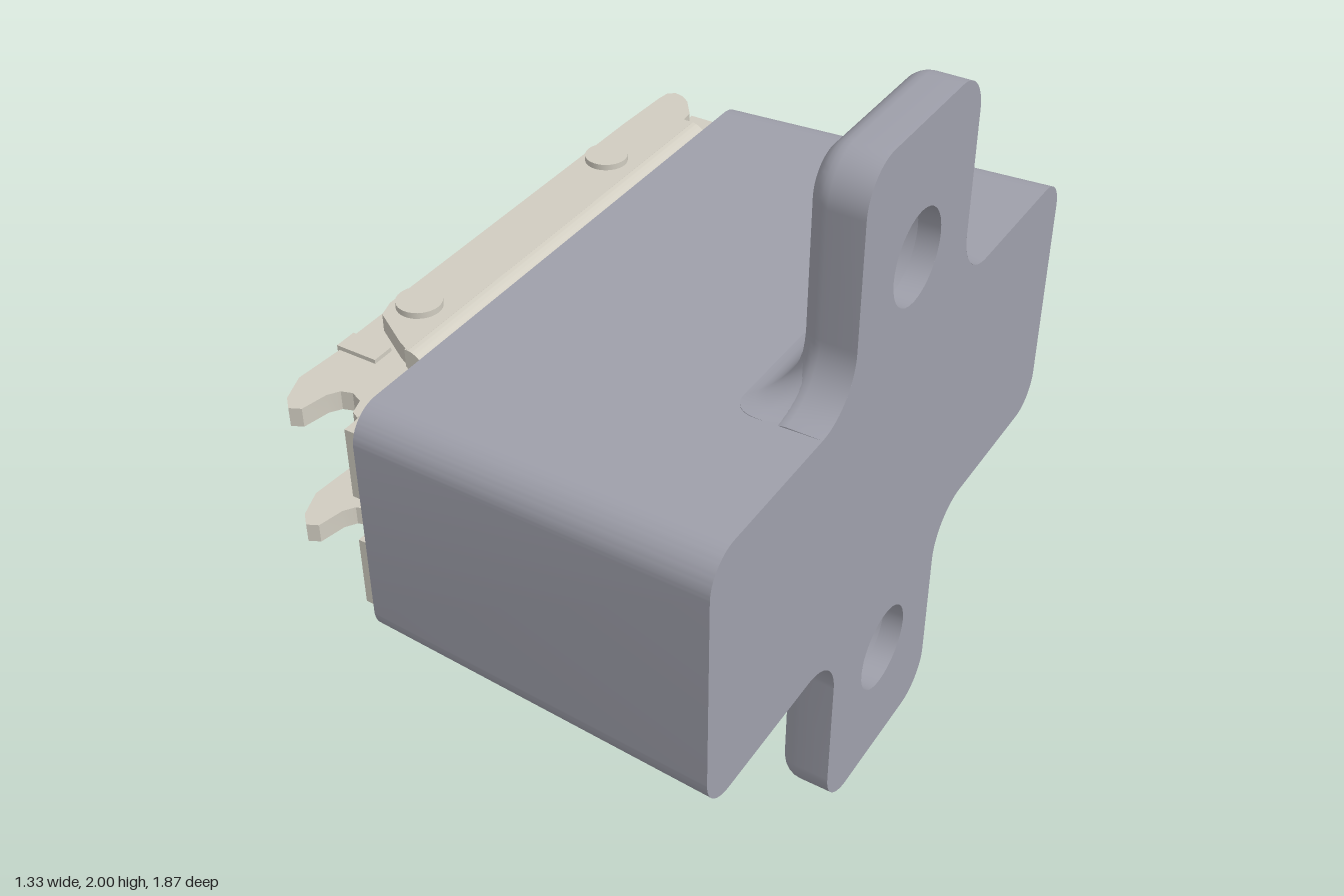
import * as THREE from 'three';
import { toCreasedNormals } from 'three/addons/utils/BufferGeometryUtils.js';

const housingMat = new THREE.MeshStandardMaterial({ color: 0x9fa0ab, side: THREE.DoubleSide });
const metalMat = new THREE.MeshStandardMaterial({ color: 0xd0ccc0, side: THREE.DoubleSide });
const PI = Math.PI;

function mesh(name, geo, mat, x = 0, y = 0, z = 0) {
  const m = new THREE.Mesh(toCreasedNormals(geo, 0.6), mat);
  m.name = name;
  m.position.set(x, y, z);
  return m;
}
const shapeOf = pts => new THREE.Shape(pts.map(p => new THREE.Vector2(p[0], p[1])));
const extrude = (shape, depth) =>
  new THREE.ExtrudeGeometry(shape, { depth, bevelEnabled: false, curveSegments: 12 });
const box = (name, x0, x1, y0, y1, z0, z1) => mesh(name, new THREE.BoxGeometry(x1 - x0, y1 - y0, z1 - z0),
  metalMat, (x0 + x1) / 2, (y0 + y1) / 2, (z0 + z1) / 2);
// plate drawn in x,z hanging down from its top height
const flatPlate = (name, shape, top, t) => mesh(name, extrude(shape, t).rotateX(PI / 2), metalMat, 0, top);
// shape drawn in z,y and thickened towards -x
const wallPlate = (shape, t) => extrude(shape, t).rotateY(-PI / 2);

// skin between rings of equal point count
function loft(rings, closed) {
  const n = rings[0].length, idx = [];
  for (let i = 0; i < rings.length - 1; i++)
    for (let j = 0; j < (closed ? n : n - 1); j++) {
      const a = i * n + j, b = i * n + (j + 1) % n;
      idx.push(a, a + n, b, b, a + n, b + n);
    }
  const g = new THREE.BufferGeometry();
  g.setAttribute('position', new THREE.Float32BufferAttribute(rings.flat(2), 3));
  g.setIndex(idx);
  g.computeVertexNormals();
  return g;
}

function roundedRect(w, h, r) {
  const s = new THREE.Shape();
  s.absarc(w - r, h - r, r, 0, PI / 2);
  s.absarc(-w + r, h - r, r, PI / 2, PI);
  s.absarc(-w + r, -h + r, r, PI, 1.5 * PI);
  s.absarc(w - r, -h + r, r, 1.5 * PI, 2 * PI);
  return s;
}

// tab outline in z,y, inset by d, flaring into the body
function tabOutline(d, hole) {
  const s = new THREE.Shape();
  s.moveTo(-0.443, 1.3);
  s.lineTo(0.443, 1.3);
  s.absarc(0.443, 1.535, 0.15 + d, 1.5 * PI, PI, true);
  s.absarc(0.173, 1.88, 0.12 - d, 0, PI / 2);
  s.absarc(-0.173, 1.88, 0.12 - d, PI / 2, PI);
  s.absarc(-0.443, 1.535, 0.15 + d, 0, -PI / 2, true);
  s.closePath();
  if (hole) s.holes.push(new THREE.Path().absarc(0, 1.63, hole, 0, 2 * PI, true));
  return s;
}

function makeTab() {
  const tab = new THREE.Group();
  tab.name = 'mountingTab';
  const ring = (x, d) => tabOutline(d).getPoints(8).map(p => [x, p.y, p.x]);
  const rings = [];
  for (let k = 0; k <= 6; k++) {
    const a = k / 6 * PI / 2;
    rings.push(ring(0.565 - 0.06 * Math.cos(a), 0.06 * (1 - Math.sin(a))));
  }
  rings.push(ring(0.66, 0));
  tab.add(mesh('tabEdge', loft(rings, true), housingMat));
  tab.add(mesh('tabFront', new THREE.ShapeGeometry(tabOutline(0.06, 0.16), 16).rotateY(-PI / 2), housingMat, 0.505));
  tab.add(mesh('tabBack', new THREE.ShapeGeometry(tabOutline(0, 0.125), 16).rotateY(PI / 2), housingMat, 0.66));
  // stepped screw hole
  const bore = (name, r, x0, x1) => mesh(name,
    new THREE.CylinderGeometry(r, r, x1 - x0, 48, 1, true).rotateZ(PI / 2), housingMat, (x0 + x1) / 2, 1.63);
  tab.add(bore('counterbore', 0.16, 0.505, 0.6), bore('screwHole', 0.125, 0.6, 0.66));
  tab.add(mesh('holeLedge', new THREE.RingGeometry(0.125, 0.16, 48).rotateY(-PI / 2), housingMat, 0.6, 1.63));
  // fillet where the tab front meets the body
  const curve = (r, u) => r - Math.sqrt(Math.max(0, r * r - (r - u) ** 2));
  const skirt = [];
  for (let i = -1; i <= 8; i++) {
    const u = 0.085 * (Math.max(i, 0) / 8) ** 1.6;
    const y = i < 0 ? 1.36 : 1.38 + u;
    const w = 0.293 + curve(0.15, u), x = 0.505 - curve(0.085, u), c = 0.06, half = [];
    for (let k = 0; k <= 6; k++) {
      const a = k / 6 * PI / 2;
      half.push([x + c - c * Math.sin(a), y, w - c + c * Math.cos(a)]);
    }
    skirt.push([[0.655, y, w], ...half, ...half.map(p => [p[0], p[1], -p[2]]).reverse(), [0.655, y, -w]]);
  }
  tab.add(mesh('tabFillet', loft(skirt, false), housingMat));
  return tab;
}

export function createModel() {
  const model = new THREE.Group();

  // tapered housing block
  const body = wallPlate(roundedRect(0.935, 0.385, 0.1), 0.99);
  const p = body.attributes.position;
  for (let i = 0; i < p.count; i++) {
    const t = -p.getX(i) / 0.99;
    p.setY(i, p.getY(i) * (1 - 0.085 * t));
    p.setZ(i, p.getZ(i) * (1 - 0.037 * t));
  }
  model.add(mesh('housing', body, housingMat, 0.66, 1, 0));

  // mounting tabs above and below
  for (const turn of [0, PI]) {
    const pivot = new THREE.Group(), tab = makeTab();
    pivot.name = turn ? 'lowerTab' : 'upperTab';
    tab.position.y = -1;
    pivot.position.y = 1;
    pivot.rotation.x = turn;
    pivot.add(tab);
    model.add(pivot);
  }

  // outer channel with rounded bends
  const c = new THREE.Shape();
  c.moveTo(-0.39, 0.65);
  c.absarc(-0.385, 0.705, 0.055, -PI / 2, 0);
  c.absarc(-0.385, 1.295, 0.055, 0, PI / 2);
  c.lineTo(-0.39, 1.35);
  c.lineTo(-0.39, 1.3);
  c.lineTo(-0.37, 1.28);
  c.lineTo(-0.37, 0.72);
  c.lineTo(-0.39, 0.7);
  model.add(mesh('channelBase', extrude(c, 1.33), metalMat, 0, 0, -0.71));

  const outer = shapeOf([[-0.38, -0.71], [-0.41, -0.71], [-0.415, -0.75], [-0.46, -0.81], [-0.49, -0.83],
    [-0.515, -0.835], [-0.535, -0.82], [-0.54, -0.78], [-0.545, -0.6], [-0.545, 0.48], [-0.53, 0.53],
    [-0.42, 0.6], [-0.38, 0.62]]);
  // inner flange: tapered end, slot in its edge, hooked fork at the other end
  const inner = shapeOf([[-0.42, -0.5], [-0.5, -0.6], [-0.53, -0.74], [-0.56, -0.745], [-0.58, -0.73],
    [-0.665, -0.61], [-0.665, -0.22], [-0.6, -0.215], [-0.58, -0.2], [-0.58, -0.13], [-0.6, -0.11],
    [-0.665, -0.11], [-0.665, 0.5], [-0.655, 0.56], [-0.665, 0.71], [-0.635, 0.79], [-0.605, 0.82],
    [-0.575, 0.805], [-0.56, 0.73], [-0.54, 0.7], [-0.51, 0.69], [-0.475, 0.705], [-0.46, 0.75],
    [-0.44, 0.76], [-0.425, 0.74], [-0.425, 0.6], [-0.41, 0.5], [-0.41, -0.45]]);

  for (const s of [1, -1]) {
    const side = s > 0 ? 'upper' : 'lower';
    const top = (y, t) => s > 0 ? y : 2 - y + t;
    model.add(flatPlate(side + 'OuterFlange', outer, top(1.35, 0.05), 0.05));
    model.add(flatPlate(side + 'InnerFlange', inner, top(1.215, 0.055), 0.055));
    // raised pads on the inner flange
    for (const [z0, z1] of [[-0.52, -0.44], [0.5, 0.565]]) {
      const y = 1 + s * 0.215;
      model.add(box(side + 'FlangePad', -0.662, -0.54, y - 0.012, y + 0.012, z0, z1));
    }
    // rivets joining the flanges
    for (const z of [-0.4, 0.45]) {
      model.add(mesh(side + 'RivetHead', new THREE.CylinderGeometry(0.06, 0.06, 0.02, 32), metalMat, -0.475, 1 + s * 0.357, z));
      model.add(mesh(side + 'RivetShank', new THREE.CylinderGeometry(0.037, 0.037, 0.2, 24), metalMat, -0.475, 1 + s * 0.26, z));
    }
  }

  // inner web with two round openings, closed by end walls
  const web = shapeOf([[-0.44, 0.84], [0.5, 0.84], [0.5, 1.16], [-0.44, 1.16]]);
  for (const z of [-0.165, 0.31])
    web.holes.push(new THREE.Path().absarc(z, 1, 0.145, 0, 2 * PI, true));
  model.add(mesh('innerWeb', wallPlate(web, 0.06), metalMat, -0.605));
  model.add(box('innerEndWall', -0.61, -0.4, 0.84, 1.16, 0.45, 0.5));
  model.add(box('innerEndWall', -0.61, -0.4, 0.84, 1.16, -0.44, -0.39));

  // blocks and slotted screw at both ends of the channel
  for (const [z0, z1, zs] of [[0.6, 0.87, 0.665], [-0.845, -0.6, -0.655]]) {
    model.add(box('upperEndBlock', -0.38, -0.325, 1.07, 1.275, z0, z1));
    model.add(box('lowerEndBlock', -0.38, -0.325, 0.725, 0.93, z0, z1));
    model.add(box('middleEndBlock', -0.36, -0.325, 0.93, 1.07, z0, z1 - 0.02));
    model.add(mesh('screwHead', new THREE.CylinderGeometry(0.115, 0.115, 0.07, 32).rotateZ(PI / 2), metalMat, -0.37, 1, zs));
    model.add(box('screwCross', -0.415, -0.4, 0.985, 1.015, zs - 0.06, zs + 0.06));
    model.add(box('screwCross', -0.415, -0.4, 0.94, 1.06, zs - 0.015, zs + 0.015));
  }
  // corner lugs beside the far end of the channel
  for (const y of [1.25, 0.7])
    model.add(box('cornerLug', -0.45, -0.33, y, y + 0.05, -0.82, -0.71));

  return model;
}
